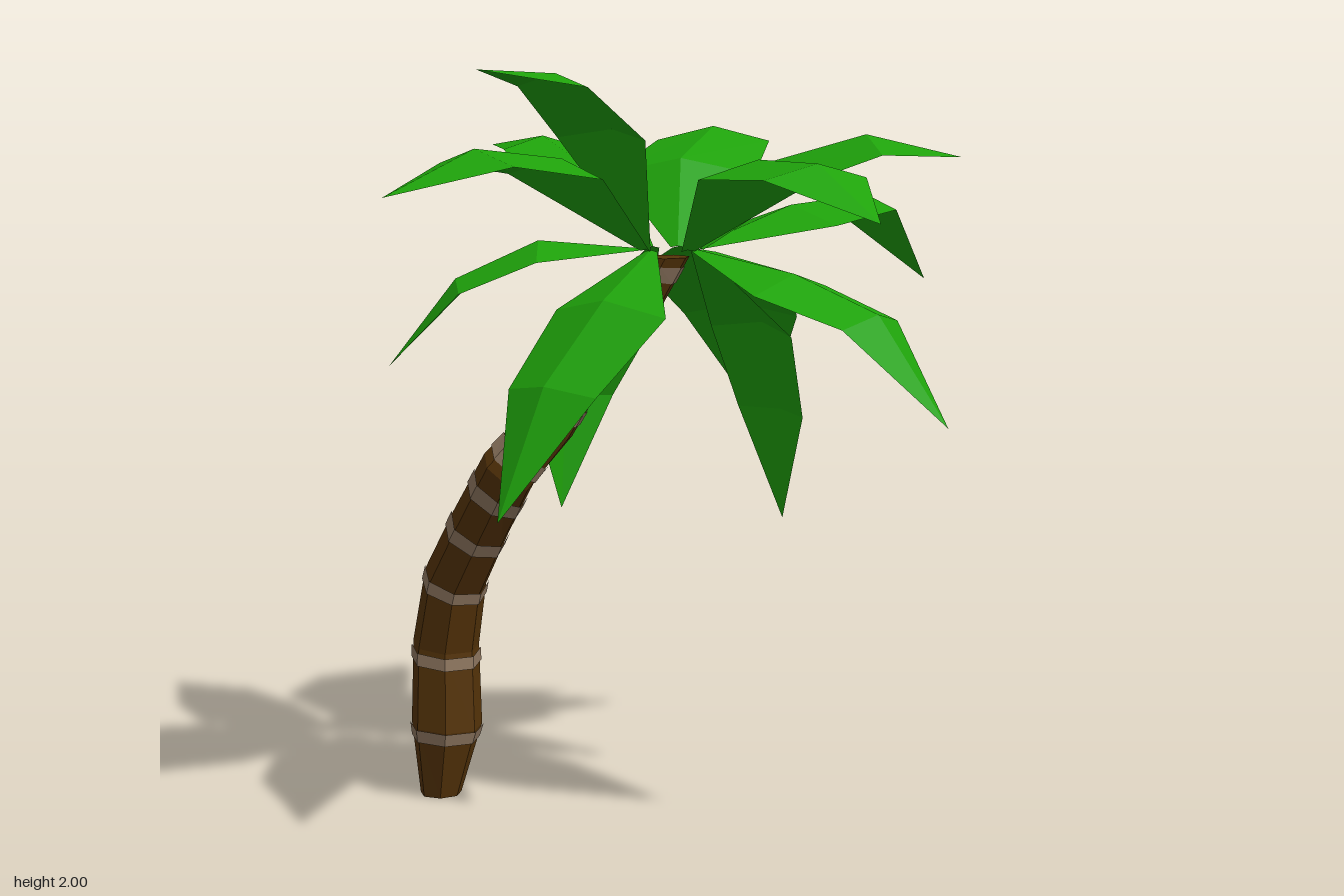
import * as THREE from 'three';

const bark = new THREE.MeshStandardMaterial({ color: 0x563408 });
bark.name = 'brown bark';
const pale = new THREE.MeshStandardMaterial({ color: 0x907861 });
pale.name = 'pale bark band';
const green = new THREE.MeshStandardMaterial({ color: 0x1fa30b, side: THREE.DoubleSide });
green.name = 'leaf green';

const V = (x, y, z) => new THREE.Vector3(x, y, z);
const UP = V(0, 1, 0);

// Unshared corners give faceted normals
function faceted(points) {
  const g = new THREE.BufferGeometry().setFromPoints(points);
  g.computeVertexNormals();
  return g;
}

// Trunk stations: y, x, z, radius
const TRUNK = [
  [0, -0.40, -0.66, 0.058],
  [0.2, -0.387, -0.643, 0.1],
  [0.43, -0.387, -0.64, 0.093],
  [0.62, -0.383, -0.585, 0.088],
  [0.78, -0.36, -0.48, 0.083],
  [0.95, -0.335, -0.355, 0.079],
  [1.08, -0.25, -0.275, 0.069],
  [1.2, -0.195, -0.22, 0.063],
  [1.36, -0.08, -0.15, 0.06],
  [1.52, -0.02, -0.085, 0.07],
];
const BANDS = [0.18, 0.4, 0.61, 0.765, 0.885, 0.99, 1.13, 1.26, 1.37, 1.48];
const SIDES = 7;

// Rings square to the bent trunk, level at both ends
const RINGS = TRUNK.map(([y, x, z, r], n) => {
  const turn = new THREE.Quaternion();
  if (n > 0 && n < TRUNK.length - 1) {
    const [a, b] = [TRUNK[n - 1], TRUNK[n + 1]];
    turn.setFromUnitVectors(UP, V(b[1] - a[1], b[0] - a[0], b[2] - a[2]).normalize());
  }
  return Array.from({ length: SIDES }, (_, i) => {
    const a = ((i + 0.3) / SIDES) * Math.PI * 2;
    return V(Math.cos(a) * r, 0, Math.sin(a) * r).applyQuaternion(turn).add(V(x, y, z));
  });
});

// Slightly enlarged ring on the trunk surface at any height
function ringAt(y) {
  const n = TRUNK.findIndex((s) => s[0] >= y);
  const t = (y - TRUNK[n - 1][0]) / (TRUNK[n][0] - TRUNK[n - 1][0]);
  const ring = RINGS[n - 1].map((p, i) => p.clone().lerp(RINGS[n][i], t));
  const centre = ring.reduce((sum, p) => sum.add(p), V(0, 0, 0)).divideScalar(SIDES);
  return ring.map((p) => p.sub(centre).multiplyScalar(1.05).add(centre));
}

// Faceted tube through rings, optionally closed at both ends
function loft(rings, capped) {
  const pts = [];
  for (let r = 0; r < rings.length - 1; r++) {
    for (let i = 0; i < SIDES; i++) {
      const j = (i + 1) % SIDES, b = rings[r], t = rings[r + 1];
      pts.push(b[i], t[i], t[j], b[i], t[j], b[j]);
    }
  }
  if (capped) {
    const bottom = rings[0], top = rings[rings.length - 1];
    for (let i = 1; i < SIDES - 1; i++) {
      pts.push(bottom[0], bottom[i], bottom[i + 1], top[0], top[i + 1], top[i]);
    }
  }
  return faceted(pts);
}

// Fronds: tip x, y, z, heights of the two bends, half width, sideways sway
const FRONDS = [
  [0.03, 1.65, 0.79, 1.78, 1.78, 0.19, -0.02],
  [0.36, 1.13, 0.63, 1.49, 1.4, 0.18],
  [0.72, 1.77, 0.21, 1.76, 1.83, 0.24, -0.11],
  [0.86, 1.42, -0.13, 1.64, 1.66, 0.19],
  [0.59, 1.72, -0.67, 1.76, 1.84, 0.2, -0.05],
  [0.71, 0.95, -0.71, 1.5, 1.33, 0.21],
  [-0.14, 1.79, -0.8, 1.75, 1.82, 0.17, -0.06],
  [0.38, 0.79, -0.12, 1.33, 1.09, 0.18],
  [-0.03, 0.78, -0.62, 1.3, 1.1, 0.17, 0.03],
  [-0.61, 1.23, -0.5, 1.56, 1.46, 0.18],
  [-0.86, 1.7, 0.01, 1.78, 1.81, 0.2],
  [-0.6, 2, 0, 1.85, 1.99, 0.175],
  [-0.62, 0.91, 0.12, 1.43, 1.23, 0.18, -0.04],
];

// A folded leaf: raised midrib with two lowered edges, closing to a point
function frondGeometry([x, y, z, y1, y2, width, sway = 0]) {
  const tip = V(x, y, z), crown = V(0.01, 1.54, -0.1);
  const heading = V(x - crown.x, 0, z - crown.z);
  const reach = heading.length();
  heading.normalize();
  const side = heading.clone().cross(UP);
  const root = crown.clone().addScaledVector(heading, 0.08);
  // Rising fronds bend early; short ones hang steeply and spend their reach at once
  const early = 0.4 - 0.4 * Math.max(0, y - crown.y);
  const [t1, t2] = reach < 0.55 ? [0.75, 0.97] : [early, early + 0.33];
  const bend = (t, height, shift) =>
    root.clone().lerp(tip, t).setY(height).addScaledVector(side, shift);
  const rib = [root, bend(t1, y1, sway), bend(t2, y2, sway * 0.3), tip];
  const widths = [0.02, width, width * 0.8, 0];
  const rows = rib.map((p, i) => {
    const along = rib[Math.min(i + 1, 3)].clone().sub(rib[Math.max(i - 1, 0)]).normalize();
    const up = side.clone().cross(along).normalize();
    const edge = (s) => p.clone().addScaledVector(side, s * widths[i]).addScaledVector(up, -0.25 * widths[i]);
    return [edge(-1), p, edge(1)];
  });
  const pts = [];
  for (let r = 0; r < 3; r++) {
    const a = rows[r], b = rows[r + 1];
    for (let k = 0; k < 2; k++) {
      pts.push(a[k], a[k + 1], b[k + 1]);
      if (r < 2) pts.push(a[k], b[k + 1], b[k]);
    }
  }
  // The last row meets in a point, so close its outer corners to the tip
  return faceted(pts.concat([rows[2][2], rows[3][1], rows[2][1]]));
}

export function createModel() {
  const model = new THREE.Group();
  model.name = 'palmTree';
  const add = (parent, name, geometry, material) => {
    const m = new THREE.Mesh(geometry, material);
    m.name = name;
    parent.add(m);
  };

  // Curved trunk with pale growth bands
  const trunk = new THREE.Group();
  trunk.name = 'trunk';
  add(trunk, 'trunkBark', loft(RINGS, true), bark);
  for (const y of BANDS) {
    add(trunk, 'trunkBand', loft([ringAt(y - 0.018), ringAt(y + 0.018)], false), pale);
  }

  // Crown of fronds
  const crown = new THREE.Group();
  crown.name = 'crown';
  FRONDS.forEach((f) => add(crown, 'frond', frondGeometry(f), green));

  model.add(trunk, crown);
  return model;
}
